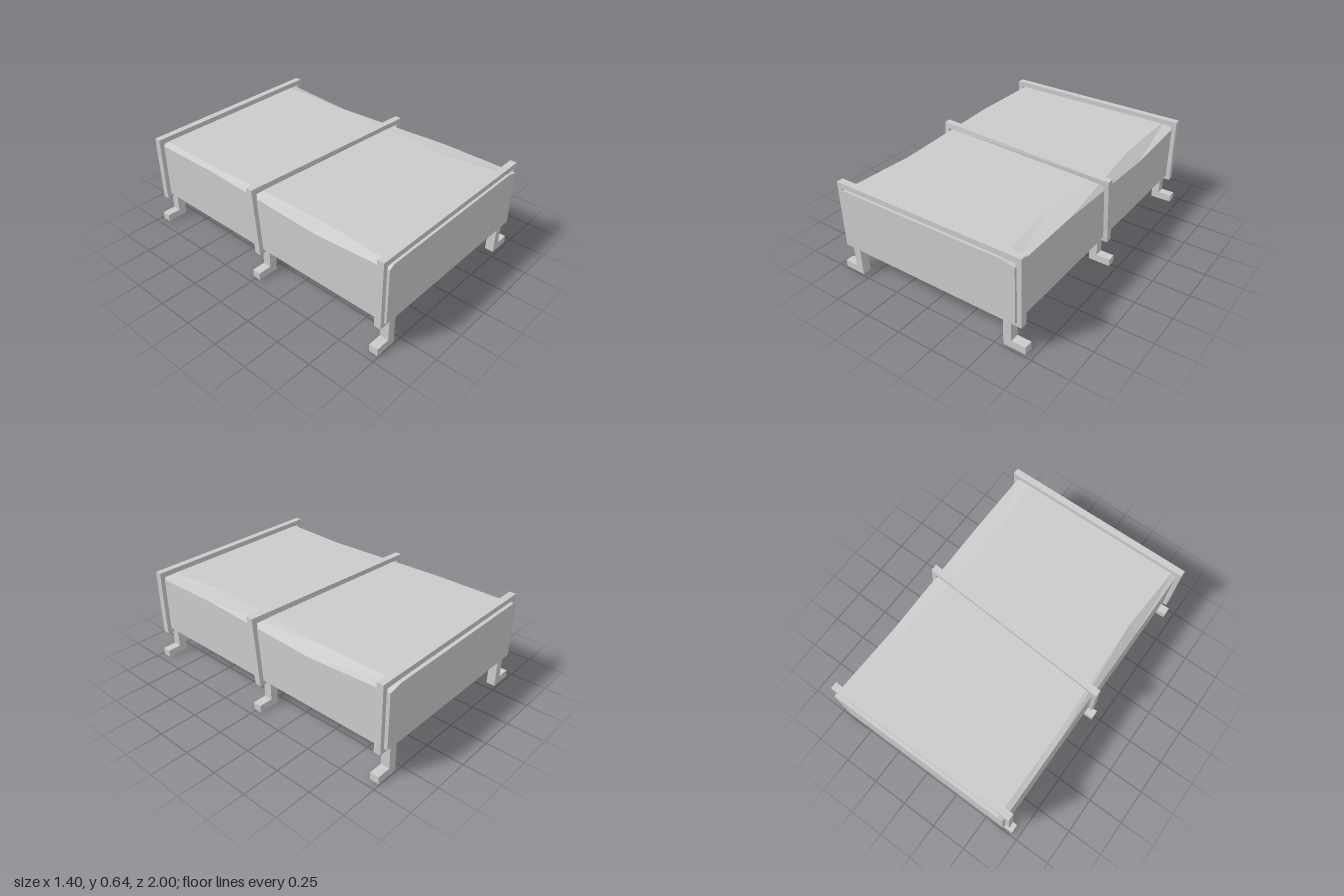
import * as THREE from 'three';

const material = new THREE.MeshStandardMaterial({ color: 0xcccccc, flatShading: true });

function addMesh(group, geometry, name) {
  const mesh = new THREE.Mesh(geometry, material);
  mesh.name = name;
  group.add(mesh);
  return mesh;
}

// Box body lofted from front to back, with uneven worn top edges
function bodyGeometry() {
  // z, left edge (inner x, outer y), right edge (inner x, outer y)
  const sections = [
    [1, -0.61, 0.59, 0.56, 0.59],
    [0.47, -0.58, 0.555, 0.5, 0.595],
    [-0.42, -0.61, 0.595, 0.56, 0.555],
    [-1, -0.61, 0.59, 0.56, 0.59],
  ].map(([z, xa, ya, xb, yb]) => [
    [-0.645, 0.21, z], [0.645, 0.21, z], [0.645, yb, z],
    [xb, 0.61, z], [xa, 0.61, z], [-0.645, ya, z],
  ]);
  const count = 6;
  const index = [];
  for (let s = 0; s < sections.length - 1; s++) {
    for (let j = 0; j < count; j++) {
      const a = s * count + j;
      const b = s * count + (j + 1) % count;
      index.push(a, a + count, b + count, a, b + count, b);
    }
  }
  // End caps
  const last = (sections.length - 1) * count;
  for (let j = 1; j < count - 1; j++) {
    index.push(0, j, j + 1, last, last + j + 1, last + j);
  }
  const indexed = new THREE.BufferGeometry();
  indexed.setAttribute('position', new THREE.Float32BufferAttribute(sections.flat(2), 3));
  indexed.setIndex(index);
  const geometry = indexed.toNonIndexed();
  geometry.computeVertexNormals();
  return geometry;
}

function rectangle(path, x, y0, y1) {
  path.moveTo(-x, y0);
  path.lineTo(x, y0);
  path.lineTo(x, y1);
  path.lineTo(-x, y1);
  path.closePath();
  return path;
}

// Rectangular band around the body; skew twists its top edge
function bandGeometry(skew) {
  const shape = rectangle(new THREE.Shape(), 0.675, 0.18, 0.645);
  shape.holes.push(rectangle(new THREE.Path(), 0.64, 0.212, 0.608));
  const geometry = new THREE.ExtrudeGeometry(shape, { depth: 0.046, bevelEnabled: false });
  geometry.translate(0, 0, -0.023);
  const p = geometry.attributes.position;
  for (let i = 0; i < p.count; i++) {
    const rise = (p.getY(i) - 0.18) / 0.465;
    p.setZ(i, p.getZ(i) + skew * (p.getX(i) / 0.675) * rise);
  }
  geometry.computeVertexNormals();
  return geometry;
}

// L-shaped leg with the foot pointing outward
function legGeometry(side) {
  const points = [[0.55, 0], [0.7, 0], [0.7, 0.05], [0.605, 0.05], [0.605, 0.212], [0.55, 0.212]];
  const shape = new THREE.Shape(points.map(([x, y]) => new THREE.Vector2(side * x, y)));
  const geometry = new THREE.ExtrudeGeometry(shape, { depth: 0.06, bevelEnabled: false });
  return geometry.translate(0, 0, -0.03);
}

export function createModel() {
  const model = new THREE.Group();
  model.name = 'bandedBox';
  addMesh(model, bodyGeometry(), 'body');

  for (const [label, z, skew] of [['front', 0.96, 0], ['middle', 0, 0.043], ['back', -0.953, 0]]) {
    addMesh(model, bandGeometry(skew), label + 'Band').position.z = z;
    for (const side of [1, -1]) {
      const name = label + (side > 0 ? 'Left' : 'Right') + 'Leg';
      addMesh(model, legGeometry(side), name).position.z = z - 0.004 - side * 0.004;
    }
  }
  return model;
}
